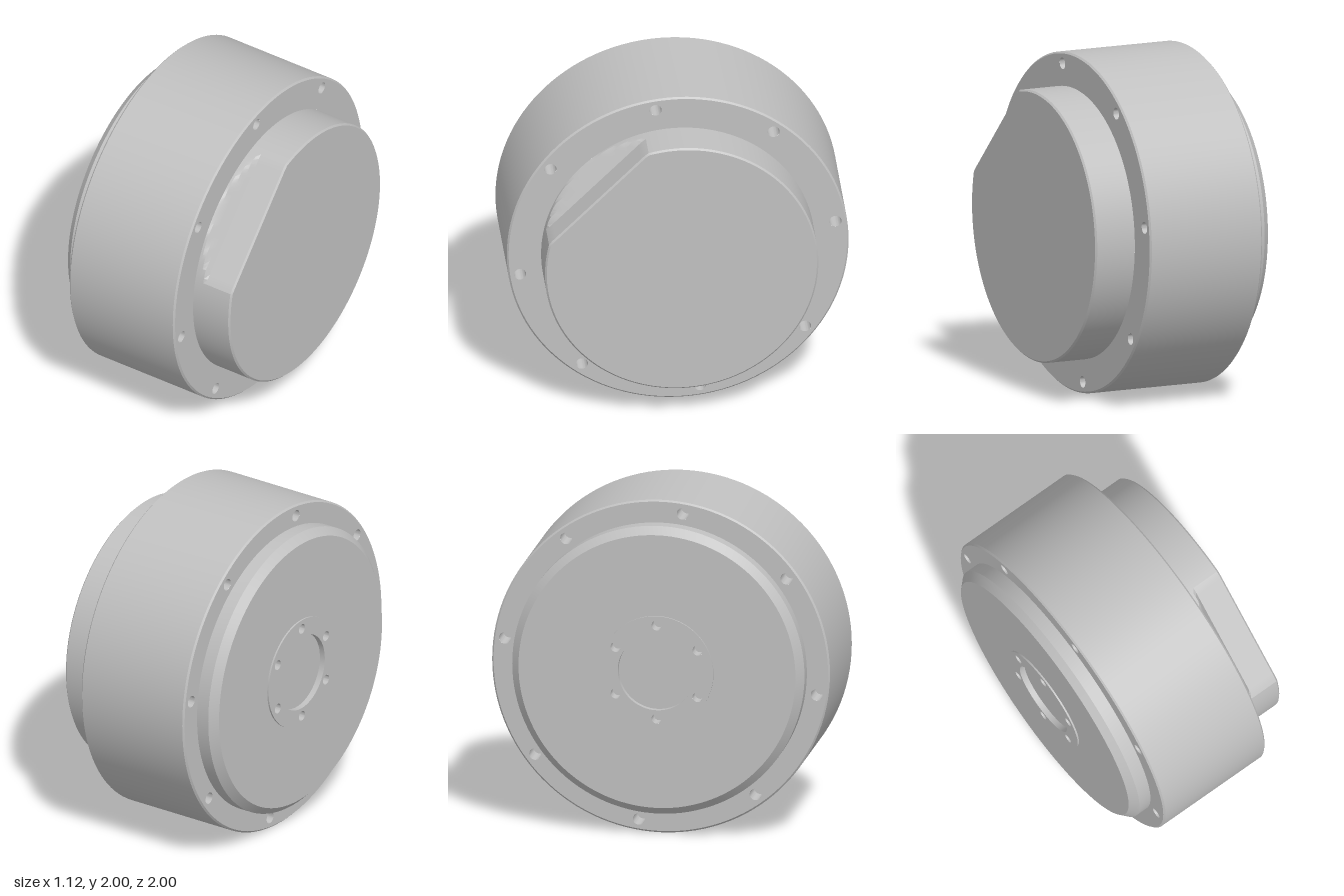
import * as THREE from 'three';
import { toCreasedNormals } from 'three/addons/utils/BufferGeometryUtils.js';

const metal = new THREE.MeshStandardMaterial({ color: 0xc0c0c0 });
metal.name = 'light grey metal';

const CREASE = 0.35;
const SEGMENTS = 120;

// Everything is turned around local y, which the main group lays along x.
function add(parent, name, geometry) {
  const mesh = new THREE.Mesh(geometry, metal);
  mesh.name = name;
  parent.add(mesh);
  return mesh;
}

function turned(profile, segments = SEGMENTS) {
  return new THREE.LatheGeometry(profile.map(([r, h]) => new THREE.Vector2(r, h)), segments);
}

// Evenly spaced hole centres; angle is measured from +z towards world up
function holeCentres(count, radius, startDegrees) {
  return Array.from({ length: count }, (_, i) => {
    const a = THREE.MathUtils.degToRad(startDegrees) + (i * 2 * Math.PI) / count;
    return { x: -radius * Math.sin(a), z: radius * Math.cos(a) };
  });
}

// Flat ring with blind holes; side is +1 or -1 for the direction it faces
function drilledRing(parent, name, { side, height, inner, outer, centres, holeRadius, depth }) {
  const shape = new THREE.Shape().absarc(0, 0, outer, 0, Math.PI * 2, false);
  shape.holes.push(new THREE.Path().absarc(0, 0, inner, 0, Math.PI * 2, true));
  for (const c of centres) {
    shape.holes.push(new THREE.Path().absarc(c.x, -side * c.z, holeRadius, 0, Math.PI * 2, true));
  }
  const face = new THREE.ShapeGeometry(shape, SEGMENTS / 2);
  face.rotateX((-side * Math.PI) / 2);
  add(parent, name, face).position.y = height;

  const pit = toCreasedNormals(
    turned([[holeRadius, 0], [holeRadius, -depth], [0, -depth]], 30), CREASE);
  for (const c of centres) {
    const hole = add(parent, name + 'Hole', pit);
    hole.position.set(c.x, height, c.z);
    if (side < 0) hole.rotation.x = Math.PI;
  }
}

// Round boss with a flat milled on one side, running out in a slope
function flattenedBoss() {
  const geometry = turned([
    [0.8, 0.305], [0.8, 0.32], [0.8, 0.34], [0.8, 0.36], [0.8, 0.38],
    [0.8, 0.55], [0.79, 0.56], [0, 0.56],
  ], 180);
  const p = geometry.attributes.position;
  for (let i = 0; i < p.count; i++) {
    const x = p.getX(i), h = p.getY(i), z = p.getZ(i);
    const distance = (z - x) / Math.SQRT2;
    let limit = 0.69;
    if (h < 0.38) limit += ((0.38 - h) / 0.07) * 0.11;
    if (h > 0.555) limit -= 0.01;
    if (distance > limit) {
      p.setX(i, (x * limit) / distance);
      p.setZ(i, (z * limit) / distance);
    }
  }
  return toCreasedNormals(geometry, CREASE);
}

export function createModel() {
  const model = new THREE.Group();
  model.name = 'flangedHousing';
  const axis = new THREE.Group();
  axis.name = 'turnedParts';
  axis.rotation.z = -Math.PI / 2;
  axis.position.y = 1;
  model.add(axis);

  // Main drum with fine edge chamfers
  add(axis, 'drumWall', toCreasedNormals(
    turned([[0.99, -0.43], [1, -0.42], [1, 0.295], [0.99, 0.305]]), CREASE));

  // Bolt circles on both drum faces
  const bolts = holeCentres(8, 0.932, 82);
  const boltHoles = { outer: 0.99, centres: bolts, holeRadius: 0.035, depth: 0.15 };
  drilledRing(axis, 'rightFlange', { side: 1, height: 0.305, inner: 0.8, ...boltHoles });
  drilledRing(axis, 'leftFlange', { side: -1, height: -0.43, inner: 0.865, ...boltHoles });

  // Boss with the flat
  add(axis, 'flattenedBoss', flattenedBoss());

  // Chamfered cover on the other end
  add(axis, 'cover', toCreasedNormals(
    turned([[0.335, -0.555], [0.82, -0.555], [0.865, -0.51], [0.865, -0.43]]), CREASE));

  // Raised hub ring with a shallow centre recess
  add(axis, 'hubRim', turned([[0.335, -0.565], [0.335, -0.555]]));
  add(axis, 'hubRecess', toCreasedNormals(
    turned([[0, -0.53], [0.23, -0.53], [0.23, -0.565]]), CREASE));
  drilledRing(axis, 'hubRing', {
    side: -1, height: -0.565, inner: 0.23, outer: 0.335,
    centres: holeCentres(6, 0.28, 30), holeRadius: 0.03, depth: 0.08,
  });

  return model;
}
